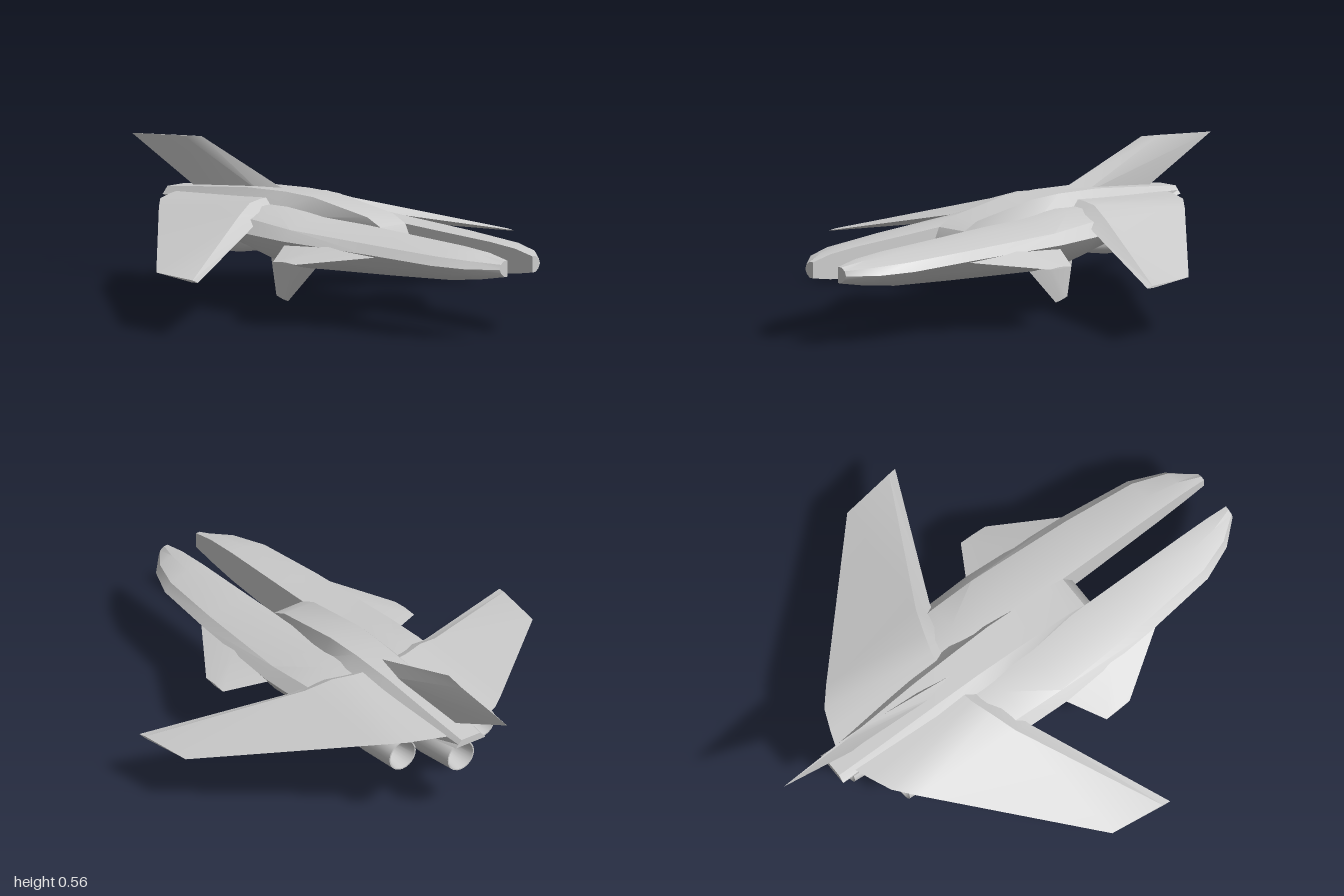
import * as THREE from 'three';
import { toCreasedNormals } from 'three/addons/utils/BufferGeometryUtils.js';

const grey = new THREE.MeshStandardMaterial({ color: 0xcccccc, side: THREE.DoubleSide });
const mix = THREE.MathUtils.lerp;

function addMesh(group, name, geometry) {
  const mesh = new THREE.Mesh(toCreasedNormals(geometry, 0.5), grey);
  mesh.name = name;
  group.add(mesh);
  return mesh;
}

// Closed skin through equal-length rings of [x, y, z], capped at both ends and wound outwards
function loft(rings) {
  const tris = [];
  const n = rings[0].length;
  for (let i = 0; i < rings.length - 1; i++) {
    for (let j = 0; j < n; j++) {
      const k = (j + 1) % n;
      const [a, b, c, d] = [rings[i][j], rings[i][k], rings[i + 1][k], rings[i + 1][j]];
      tris.push([a, b, c], [a, c, d]);
    }
  }
  const last = rings[rings.length - 1];
  for (let j = 1; j < n - 1; j++) {
    tris.push([rings[0][0], rings[0][j + 1], rings[0][j]], [last[0], last[j], last[j + 1]]);
  }
  const v = (p) => new THREE.Vector3(...p);
  const volume = tris.reduce((sum, [a, b, c]) => sum + v(a).dot(v(b).cross(v(c))), 0);
  if (volume < 0) tris.forEach((t) => t.reverse());
  const geometry = new THREE.BufferGeometry();
  geometry.setAttribute('position', new THREE.Float32BufferAttribute(tris.flat(2), 3));
  geometry.computeVertexNormals();
  return geometry;
}

// Diamond-section blade; sections are [leading point, trailing point, half thickness], axis is the thickness axis
function blade(sections, axis, ridge) {
  return sections.map(([lead, trail, t]) => {
    const side = (s) => lead.map((a, i) => mix(a, trail[i], ridge) + (i === axis ? s * t : 0));
    return [lead, side(1), trail, side(-1)];
  });
}

function addPair(group, name, rings) {
  addMesh(group, name + 'Left', loft(rings));
  addMesh(group, name + 'Right', loft(rings.map((r) => r.map(([x, y, z]) => [-x, y, z]))));
}

// Hollow engine turned from a [radius, distance behind its front] profile
function addEngine(group, name, profile, x, y, z) {
  const geometry = new THREE.LatheGeometry(profile.map((p) => new THREE.Vector2(...p)), 24);
  geometry.rotateX(-Math.PI / 2);
  addMesh(group, name, geometry).position.set(x, y, z);
}

export function createModel() {
  const group = new THREE.Group();

  // Twin hulls with a flat inner wall: [z, outer x, top, widest height, bottom]
  const inner = 0.065;
  const hull = [
    [1, 0.105, 0.3, 0.27, 0.24],
    [0.91, 0.185, 0.318, 0.27, 0.225],
    [0.78, 0.24, 0.328, 0.275, 0.21],
    [0.5, 0.275, 0.338, 0.285, 0.195],
    [0.08, 0.305, 0.355, 0.29, 0.175],
    [-0.1, 0.3, 0.375, 0.295, 0.185],
    [-0.3, 0.285, 0.37, 0.31, 0.235],
    [-0.58, 0.24, 0.35, 0.335, 0.32],
  ].map(([z, outer, top, mid, bottom]) => [
    [0, bottom],
    [0.4, bottom],
    [0.8, mix(bottom, mid, 0.45)],
    [1, mid],
    [0.85, mix(mid, top, 0.6)],
    [0.4, top],
    [0, top],
  ].map(([u, y]) => [mix(inner, outer, u), y, z]));
  addPair(group, 'hull', hull);

  // Central spine: [z, top half width, shoulder half width, top, shoulder, bottom]
  const spine = [
    [0.39, 0.065, 0.066, 0.255, 0.245, 0.235],
    [0.345, 0.065, 0.066, 0.345, 0.3, 0.205],
    [0.28, 0.066, 0.067, 0.375, 0.335, 0.185],
    [0, 0.066, 0.1, 0.417, 0.345, 0.175],
    [-0.15, 0.062, 0.122, 0.42, 0.355, 0.18],
    [-0.35, 0.058, 0.1, 0.412, 0.365, 0.22],
    [-0.6, 0.05, 0.07, 0.385, 0.36, 0.3],
    [-0.775, 0.042, 0.055, 0.365, 0.35, 0.338],
  ].map(([z, topW, sideW, top, side, bottom]) => [
    [-0.067, bottom, z], [0.067, bottom, z], [sideW, side, z],
    [topW, top, z], [-topW, top, z], [-sideW, side, z],
  ]);
  addMesh(group, 'spine', loft(spine));

  // Forward-swept, drooping wings
  addPair(group, 'wing', blade([
    [[0.04, 0.357, -0.16], [0.04, 0.355, -0.72], 0.035],
    [[0.12, 0.355, -0.15], [0.12, 0.355, -0.69], 0.036],
    [[0.2, 0.35, -0.125], [0.2, 0.352, -0.655], 0.038],
    [[0.3, 0.315, -0.09], [0.275, 0.337, -0.588], 0.037],
    [[0.82, 0.207, 0.155], [0.79, 0.213, -0.09], 0.004],
  ], 1, 0.13));

  // Small foreplanes
  addPair(group, 'foreplane', blade([
    [[0.24, 0.285, 0.56], [0.24, 0.285, 0.04], 0.022],
    [[0.28, 0.275, 0.5], [0.3, 0.272, 0.08], 0.018],
    [[0.43, 0.241, 0.27], [0.435, 0.24, 0.16], 0.004],
  ], 1, 0.5));

  // Tail fin, belly fin and the fairing it grows from
  addMesh(group, 'tailFin', loft(blade([
    [[0, 0.41, -0.21], [0, 0.335, -0.6], 0.025],
    [[0, 0.56, -0.64], [0, 0.53, -1], 0.004],
  ], 0, 0.25)));
  addMesh(group, 'bellyFin', loft(blade([
    [[0, 0.17, -0.02], [0, 0.17, -0.285], 0.022],
    [[0, 0, -0.195], [0, 0.015, -0.255], 0.004],
  ], 0, 0.4)));
  const fairing = addMesh(group, 'bellyFairing', new THREE.SphereGeometry(1, 20, 12));
  fairing.scale.set(0.06, 0.055, 0.22);
  fairing.position.set(0, 0.192, -0.1);

  // Three engines with open nozzles
  for (const [name, x] of [['engineLeft', 0.18], ['engineRight', -0.18]]) {
    addEngine(group, name, [
      [0, 0], [0.04, 0.12], [0.064, 0.26], [0.07, 0.42], [0.06, 0.6], [0.055, 0.6], [0.03, 0.47], [0, 0.47],
    ], x, 0.262, 0);
  }
  addEngine(group, 'engineCentre', [
    [0, 0], [0.04, 0.14], [0.068, 0.35], [0.076, 0.55], [0.076, 0.74], [0.06, 0.915], [0.055, 0.915], [0.03, 0.77], [0, 0.77],
  ], 0, 0.25, 0.2);

  return group;
}
